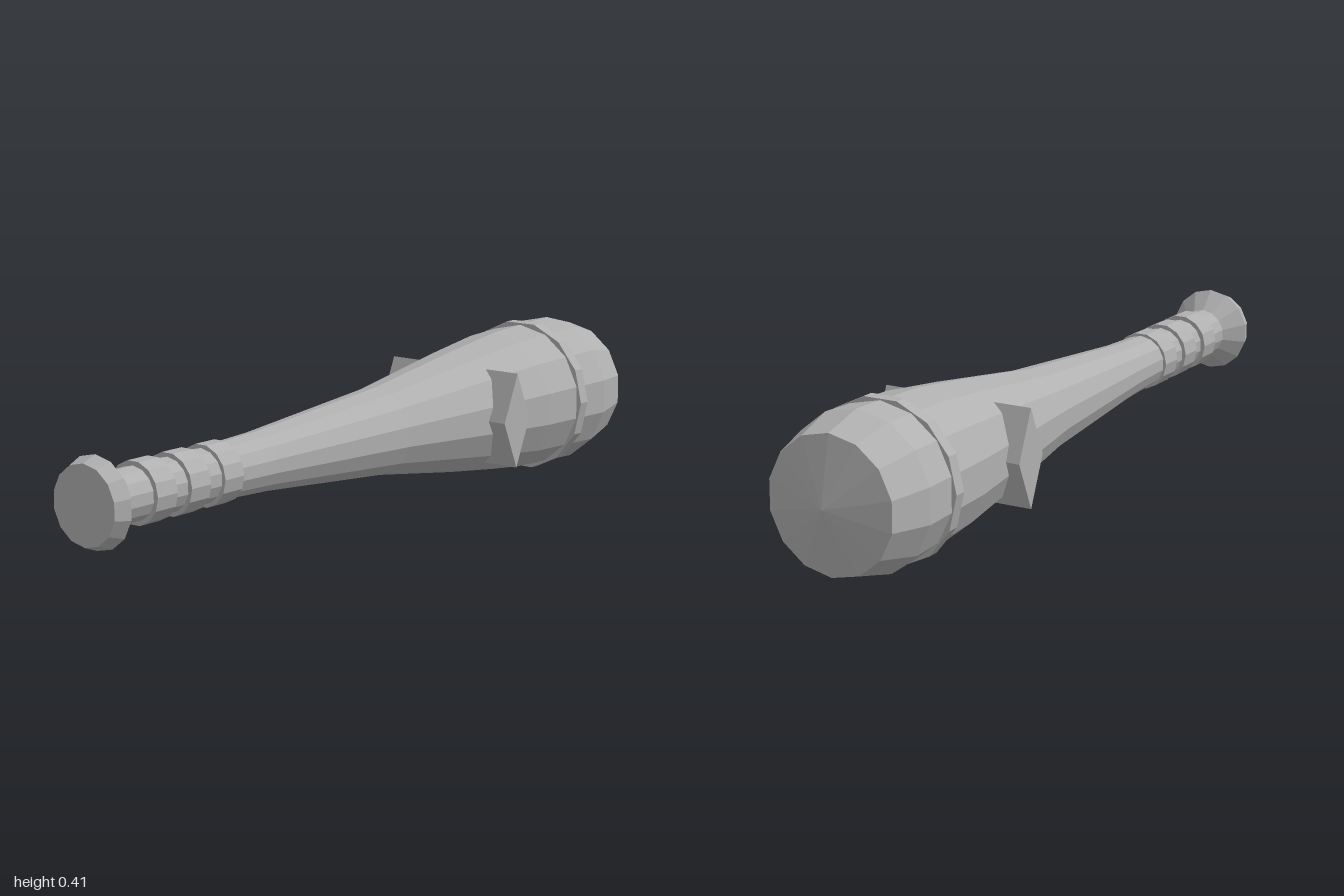
import * as THREE from 'three';

const SIDES = 14;
const AXIS_Y = 0.204;

export function createModel() {
  const model = new THREE.Group();
  model.name = 'studdedClub';
  const grey = new THREE.MeshStandardMaterial({ color: 0xb0b0b0 });
  grey.name = 'plain grey';
  grey.flatShading = true;

  function add(name, geometry) {
    const mesh = new THREE.Mesh(geometry, grey);
    mesh.name = name;
    mesh.position.y = AXIS_Y;
    model.add(mesh);
  }

  // Faceted solid turned about the x axis from [x, radius] pairs
  function turned(profile, phase = 0) {
    const points = profile.map(([x, r]) => new THREE.Vector2(r, x));
    return new THREE.LatheGeometry(points, SIDES, Math.PI / 2 + phase, Math.PI * 2)
      .rotateZ(-Math.PI / 2);
  }

  // Closed ring, turned half a facet against the body
  function ring(x0, x1, r) {
    return turned([[x0, 0], [x0, r], [x1, r], [x1, 0]], Math.PI / SIDES);
  }

  // Pommel, handle, flaring barrel and shallow end cone in one profile
  add('clubBody', turned([
    [-1, 0], [-1, 0.1], [-0.96, 0.115], [-0.91, 0.066],
    [-0.6, 0.069], [-0.4, 0.077], [0.07, 0.117], [0.4, 0.167], [0.6, 0.193],
    [0.85, 0.204], [0.965, 0.174], [1, 0],
  ]));

  // Grip rings
  for (const x of [-0.802, -0.685, -0.567]) add('gripRing', ring(x - 0.034, x + 0.034, 0.079));

  // Band round the barrel
  add('barrelBand', ring(0.721, 0.754, 0.2085));

  // Diamond bar driven right through the barrel
  const diamond = new THREE.Shape();
  diamond.moveTo(-0.056, 0);
  diamond.lineTo(0, -0.128);
  diamond.lineTo(0.056, 0);
  diamond.lineTo(0, 0.128);
  diamond.closePath();
  add('diamondStud', new THREE.ExtrudeGeometry(diamond, { depth: 0.418, bevelEnabled: false })
    .translate(0.417, 0, -0.209));

  return model;
}
